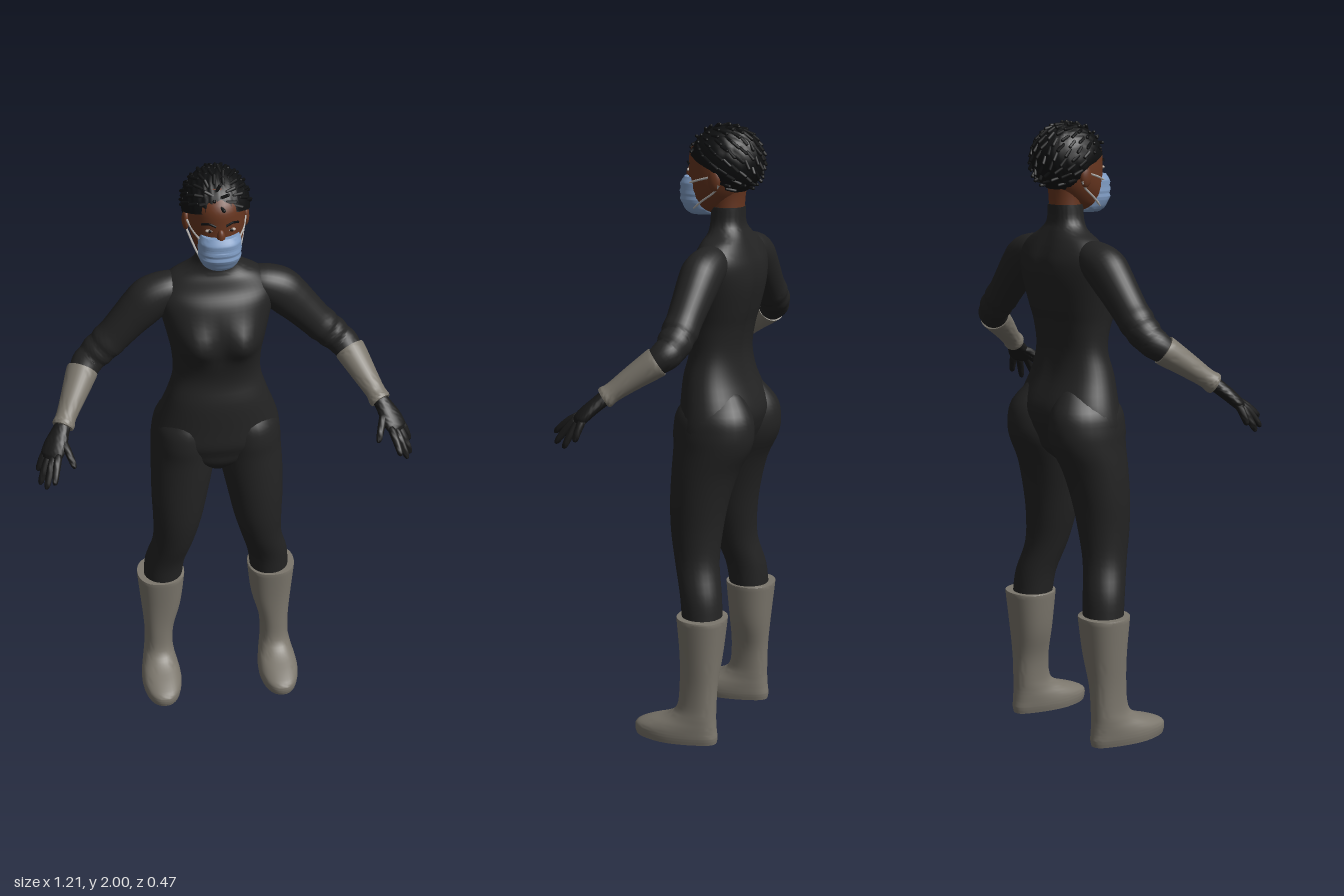
import * as THREE from 'three';
import { toCreasedNormals } from 'three/addons/utils/BufferGeometryUtils.js';

const mat = (name, color) => Object.assign(new THREE.MeshStandardMaterial({ color }), { name });
const V = (x, y, z) => new THREE.Vector3(x, y, z);
const gauss = (d, s) => Math.exp(-(d * d) / (s * s));

// Smooth capped skin through rows of [x, y, z, radiusA, radiusB].
// level: rings stay horizontal (A along x, B along z); otherwise they follow the path.
function loft(rows, { seg = 28, sub = 4, level = false, power = 2, warp = null, crease = 0.9 } = {}) {
  const centre = new THREE.CatmullRomCurve3(rows.map(r => V(r[0], r[1], r[2])), false, 'catmullrom');
  const radius = new THREE.CatmullRomCurve3(rows.map(r => V(r[3], r[4], 0)), false, 'catmullrom');
  const n = (rows.length - 1) * sub;
  const pos = [], idx = [];
  const down = rows[rows.length - 1][1] < rows[0][1] ? -1 : 1;
  const bend = a => Math.sign(a) * Math.pow(Math.abs(a), 2 / power);
  const push = p => { if (warp) warp(p); pos.push(p.x, p.y, p.z); };
  for (let i = 0; i <= n; i++) {
    const c = centre.getPoint(i / n), r = radius.getPoint(i / n);
    const T = level ? V(0, down, 0) : centre.getTangent(i / n);
    const u = level ? V(1, 0, 0) : V(0, 1, 0).cross(T).normalize();
    const v = T.clone().cross(u);
    for (let j = 0; j < seg; j++) {
      const a = (j / seg) * Math.PI * 2;
      push(c.clone().addScaledVector(u, r.x * bend(Math.cos(a))).addScaledVector(v, r.y * bend(Math.sin(a))));
      if (i < n) {
        const k = (j + 1) % seg, p = i * seg, q = p + seg;
        idx.push(p + j, p + k, q + j, p + k, q + k, q + j);
      }
    }
  }
  push(centre.getPoint(0));
  push(centre.getPoint(1));
  for (let j = 0; j < seg; j++) {
    const k = (j + 1) % seg, c = (n + 1) * seg;
    idx.push(c, k, j, c + 1, n * seg + j, n * seg + k);
  }
  const g = new THREE.BufferGeometry();
  g.setAttribute('position', new THREE.Float32BufferAttribute(pos, 3));
  g.setIndex(idx);
  return toCreasedNormals(g, crease);
}

export function createModel() {
  const model = new THREE.Group();
  const suit = mat('black suit', 0x232323), glove = mat('black glove', 0x191919);
  const boot = mat('grey rubber', 0x7b766c), skin = mat('brown skin', 0x66351f);
  const hair = mat('black hair', 0x0e0f10), mask = mat('blue mask', 0x7f9cc4);
  const strap = mat('pale strap', 0xb4b2b0), white = mat('eye white', 0xb8aea6);
  const iris = mat('dark iris', 0x1c100b);
  const add = (name, geo, m, parent = model) => {
    const mesh = new THREE.Mesh(geo, m);
    mesh.name = name;
    parent.add(mesh);
    return mesh;
  };
  const ball = (name, m, p, s) => {
    const b = add(name, new THREE.SphereGeometry(1, 20, 14), m);
    b.position.set(...p);
    b.scale.set(...s);
    return b;
  };

  // Torso with bust and spine groove
  add('torso', loft([
    [0, 1.742, -0.1, 0.057, 0.053], [0, 1.69, -0.1, 0.064, 0.055], [0, 1.66, -0.105, 0.092, 0.062],
    [0, 1.635, -0.105, 0.14, 0.073], [0, 1.6, -0.105, 0.178, 0.088], [0, 1.56, -0.098, 0.186, 0.108],
    [0, 1.5, -0.09, 0.174, 0.118], [0, 1.42, -0.08, 0.155, 0.112], [0, 1.36, -0.075, 0.144, 0.1],
    [0, 1.28, -0.075, 0.142, 0.088], [0, 1.2, -0.073, 0.165, 0.103], [0, 1.1, -0.09, 0.2, 0.125],
    [0, 1.04, -0.085, 0.21, 0.122], [0, 1.0, -0.083, 0.2, 0.108], [0, 0.96, -0.08, 0.13, 0.095],
    [0, 0.92, -0.075, 0.04, 0.06],
  ], {
    level: true, seg: 48, power: 2.15, crease: 1.2,
    warp: p => {
      if (p.z > -0.06) p.z += 0.042 * gauss(Math.abs(p.x) - 0.075, 0.055) * gauss(p.y - 1.44, 0.06);
      if (p.z < -0.12) p.z += 0.014 * gauss(p.x, 0.03) * gauss(p.y - 1.42, 0.22);
    },
  }), suit);

  for (const [side, s] of [['left', 1], ['right', -1]]) {
    const flip = rows => rows.map(([x, ...r]) => [x * s, ...r]);

    // Leg, with the seat rounded into its top
    add(side + 'Leg', loft(flip([
      [0.085, 1.17, -0.1, 0.05, 0.07], [0.103, 1.1, -0.1, 0.093, 0.122], [0.107, 1.04, -0.1, 0.105, 0.135],
      [0.109, 0.98, -0.096, 0.107, 0.129], [0.117, 0.9, -0.075, 0.103, 0.11], [0.128, 0.8, -0.06, 0.093, 0.096],
      [0.137, 0.7, -0.055, 0.081, 0.085], [0.152, 0.6, -0.063, 0.069, 0.073], [0.178, 0.5, -0.088, 0.068, 0.068],
      [0.187, 0.41, -0.098, 0.066, 0.066],
    ]), { level: true }), suit);

    // Rubber boot: shaft spreading into the foot, heel narrower than the toes
    add(side + 'Boot', loft(flip([
      [0.193, 0.432, -0.1, 0.081, 0.081], [0.193, 0.415, -0.1, 0.081, 0.08], [0.195, 0.3, -0.098, 0.069, 0.069],
      [0.204, 0.2, -0.093, 0.052, 0.063], [0.207, 0.12, -0.087, 0.049, 0.066], [0.208, 0.085, -0.068, 0.055, 0.085],
      [0.208, 0.06, -0.035, 0.064, 0.12], [0.208, 0.04, -0.015, 0.069, 0.142], [0.208, 0.02, -0.013, 0.07, 0.147],
      [0.208, 0, -0.014, 0.067, 0.143],
    ]), {
      level: true, power: 2.25, seg: 36, crease: 0.8,
      warp: p => {
        if (p.y < 0.1 && p.z < 0) p.x += (0.208 * s - p.x) * Math.min(0.25, -p.z * 2.2) * (1 - p.y / 0.1);
      },
    }), boot);

    // Sleeve, lightly wrinkled towards the cuff
    add(side + 'Sleeve', loft(flip([
      [0.11, 1.58, -0.105, 0.05, 0.05], [0.15, 1.578, -0.104, 0.062, 0.06], [0.2, 1.555, -0.102, 0.066, 0.07],
      [0.235, 1.522, -0.101, 0.064, 0.068], [0.272, 1.483, -0.1, 0.06, 0.062], [0.32, 1.43, -0.098, 0.056, 0.056],
      [0.345, 1.405, -0.097, 0.058, 0.056], [0.36, 1.39, -0.096, 0.054, 0.052], [0.378, 1.374, -0.094, 0.056, 0.053],
      [0.396, 1.357, -0.089, 0.05, 0.048], [0.415, 1.341, -0.078, 0.05, 0.047], [0.44, 1.312, -0.045, 0.04, 0.038],
    ])), suit);

    // Gauntlet cuff
    add(side + 'Gauntlet', loft(flip([
      [0.43, 1.326, -0.062, 0.05, 0.047], [0.437, 1.317, -0.05, 0.05, 0.046], [0.466, 1.276, 0.004, 0.041, 0.038],
      [0.495, 1.235, 0.055, 0.033, 0.031], [0.505, 1.22, 0.074, 0.036, 0.034], [0.509, 1.215, 0.081, 0.034, 0.032],
    ])), boot);

    // Gloved hand: palm, four fingers and thumb
    const hand = new THREE.Group();
    hand.name = side + 'Hand';
    model.add(hand);
    add('palm', loft(flip([
      [0.503, 1.223, 0.07, 0.024, 0.024], [0.52, 1.2, 0.095, 0.031, 0.022], [0.537, 1.174, 0.122, 0.039, 0.021],
      [0.552, 1.151, 0.142, 0.038, 0.018], [0.558, 1.141, 0.149, 0.026, 0.012],
    ]), { crease: 1.6 }), glove, hand);
    const fingers = [
      ['indexFinger', [0.53, 1.158, 0.155], [0.55, 1.1, 0.23]],
      ['middleFinger', [0.545, 1.153, 0.152], [0.576, 1.074, 0.213]],
      ['ringFinger', [0.558, 1.15, 0.138], [0.594, 1.067, 0.176]],
      ['littleFinger', [0.568, 1.155, 0.122], [0.597, 1.092, 0.136]],
      ['thumb', [0.515, 1.19, 0.112], [0.483, 1.133, 0.195]],
    ];
    for (const [name, a, b] of fingers) {
      const rows = [[0, 0.012], [0.35, 0.0125], [0.7, 0.011], [0.92, 0.009], [1, 0.004]].map(([t, r]) => [
        a[0] + (b[0] - a[0]) * t, a[1] + (b[1] - a[1]) * t + 0.022 * t * (1 - t), a[2] + (b[2] - a[2]) * t, r, r]);
      add(name, loft(flip(rows), { seg: 12, sub: 2, crease: 1.6 }), glove, hand);
    }

    // Ear, eye, brow and mask loops
    ball(side + 'Ear', skin, [0.092 * s, 1.832, -0.092], [0.012, 0.034, 0.021]);
    ball(side + 'Eye', white, [0.033 * s, 1.853, 0.021], [0.0135, 0.0055, 0.007]);
    ball(side + 'Iris', iris, [0.033 * s, 1.853, 0.0255], [0.0055, 0.0055, 0.004]);
    const brow = [[0.015, 1.871, 0.033], [0.035, 1.878, 0.026], [0.056, 1.87, 0.009]];
    const loops = [
      [[0.06, 1.815, 0.008], [0.078, 1.828, -0.03], [0.092, 1.842, -0.08], [0.098, 1.848, -0.1]],
      [[0.055, 1.735, -0.004], [0.073, 1.765, -0.045], [0.088, 1.795, -0.09], [0.098, 1.82, -0.112]],
    ];
    const tube = (pts, r) => new THREE.TubeGeometry(
      new THREE.CatmullRomCurve3(pts.map(p => V(p[0] * s, p[1], p[2]))), 12, r, 6);
    add(side + 'Brow', tube(brow, 0.0035), hair);
    loops.forEach(p => add(side + 'MaskLoop', tube(p, 0.0035), strap));
  }

  // Head, neck and nose
  add('head', loft([
    [0, 1.97, -0.08, 0.05, 0.06], [0, 1.92, -0.076, 0.08, 0.1], [0, 1.87, -0.075, 0.086, 0.106],
    [0, 1.83, -0.07, 0.085, 0.101], [0, 1.79, -0.06, 0.078, 0.092], [0, 1.75, -0.045, 0.061, 0.074],
    [0, 1.725, -0.032, 0.04, 0.052], [0, 1.716, -0.028, 0.018, 0.025],
  ], { level: true, seg: 36, crease: 1.6 }), skin);
  add('neck', loft([
    [0, 1.83, -0.102, 0.06, 0.062], [0, 1.77, -0.1, 0.054, 0.053], [0, 1.7, -0.1, 0.056, 0.05],
  ], { level: true }), skin);
  ball('nose', skin, [0, 1.833, 0.033], [0.013, 0.027, 0.014]);

  // Face mask with soft horizontal pleats
  add('faceMask', loft([
    [0, 1.832, -0.005, 0.058, 0.05], [0, 1.81, 0, 0.066, 0.059], [0, 1.795, 0, 0.065, 0.057],
    [0, 1.785, 0, 0.067, 0.061], [0, 1.77, 0, 0.065, 0.057], [0, 1.76, 0, 0.066, 0.06],
    [0, 1.745, -0.003, 0.062, 0.055], [0, 1.725, -0.01, 0.052, 0.053], [0, 1.713, -0.014, 0.036, 0.042],
  ], { level: true, power: 2.3, seg: 36, crease: 0.7 }), mask);

  // Cropped braided hair: ridged cap trimmed at the hairline
  const centre = V(0, 1.884, -0.094), size = V(0.104, 0.11, 0.118);
  const hairline = z => z > -0.09
    ? THREE.MathUtils.mapLinear(z, -0.09, 0.02, 1.862, 1.908)
    : Math.max(1.772, 1.862 + (z + 0.09) * 1.8);
  const cap = new THREE.SphereGeometry(1, 72, 48);
  const cp = cap.attributes.position, p = V(0, 0, 0);
  for (let i = 0; i < cp.count; i++) {
    p.fromBufferAttribute(cp, i);
    const ridge = 1 + 0.018 * Math.sin(p.x * 34) * Math.sin(p.z * 9 + p.y * 7 + 1);
    p.multiplyScalar(ridge).multiply(size).add(centre);
    p.y = Math.max(p.y, hairline(p.z));
    cp.setXYZ(i, p.x, p.y, p.z);
  }
  cap.computeVertexNormals();
  add('hairCap', cap, hair);

  // Short braid ends lying over the cap
  let seed = 7;
  const rand = () => (seed = (seed * 16807) % 2147483647) / 2147483647;
  const braids = new THREE.Group();
  braids.name = 'braidEnds';
  model.add(braids);
  const braidGeo = new THREE.CapsuleGeometry(0.0055, 0.028, 3, 6);
  for (let i = 0; i < 150; i++) {
    const y = 1 - (1.75 * (i + 0.5)) / 150, a = i * 2.39996, r = Math.sqrt(1 - y * y);
    const d = V(r * Math.cos(a), y, r * Math.sin(a)), at = d.clone().multiply(size).add(centre);
    if (at.y < hairline(at.z) + 0.018) continue;
    const flow = V(d.x * 0.3 + rand() * 0.6 - 0.3, -0.5, -0.8).addScaledVector(d, 0.15);
    flow.addScaledVector(d, -flow.dot(d) + 0.12 + 0.2 * rand()).normalize();
    const braid = add('braidEnd', braidGeo, hair, braids);
    braid.position.copy(at);
    braid.quaternion.setFromUnitVectors(V(0, 1, 0), flow);
  }
  return model;
}
